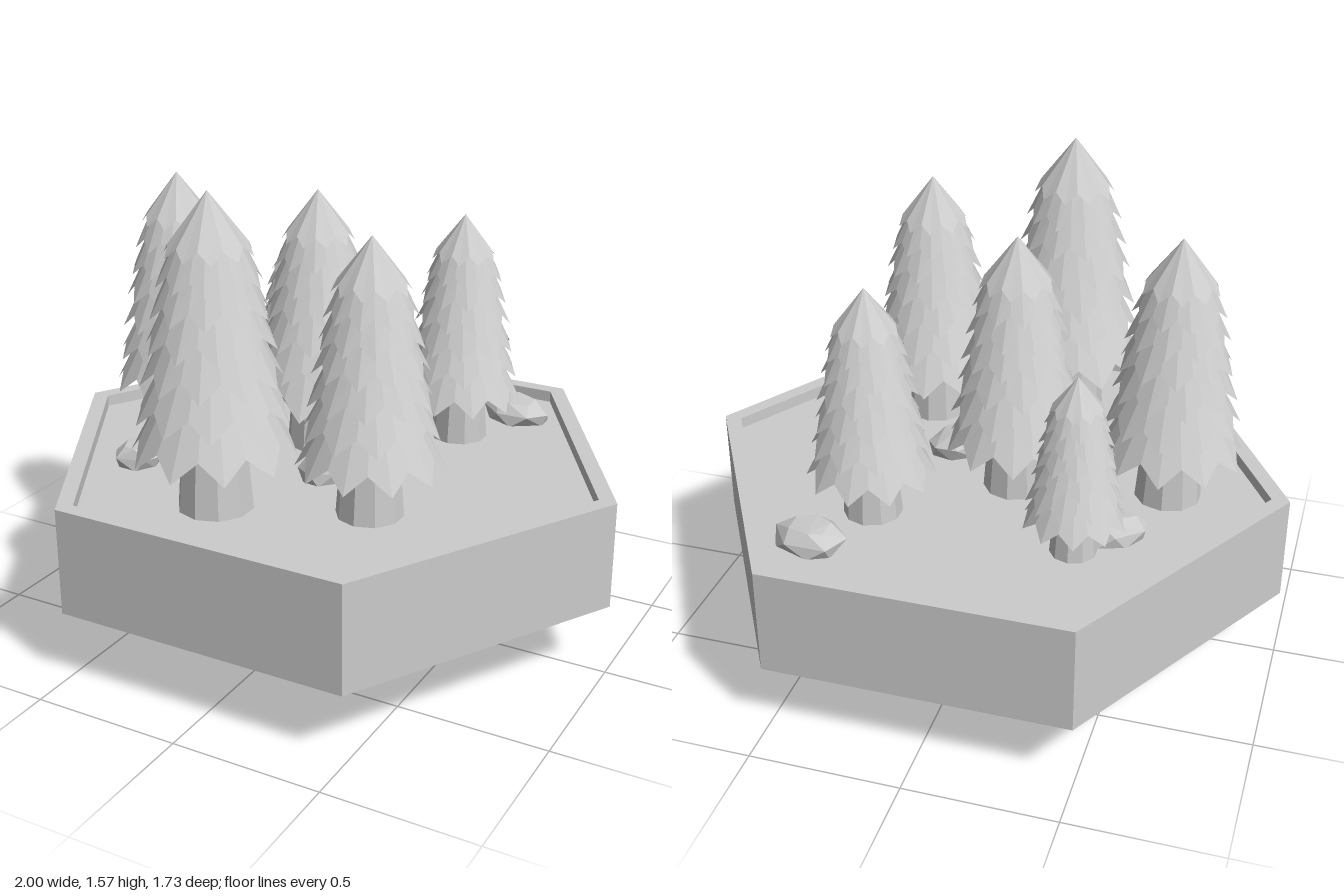
import * as THREE from 'three';
import { ConvexGeometry } from 'three/addons/geometries/ConvexGeometry.js';

const grey = new THREE.MeshStandardMaterial({ color: 0xcccccc, flatShading: true });
const thin = new THREE.MeshStandardMaterial({ color: 0xcccccc, flatShading: true, side: THREE.DoubleSide });
const FLOOR = 0.56;

let seed = 7;
function rand() {
  seed = (seed * 16807) % 2147483647;
  return seed / 2147483647;
}

function part(name, geometry, material = grey) {
  const mesh = new THREE.Mesh(geometry, material);
  mesh.name = name;
  return mesh;
}

function hexPoints(r) {
  return Array.from({ length: 6 }, (_, i) =>
    new THREE.Vector2(r * Math.cos(i * Math.PI / 3), r * Math.sin(i * Math.PI / 3)));
}

// Hexagonal tile: raised rim, sunken floor and a shallow point underneath
function createBase() {
  const base = new THREE.Group();
  base.name = 'hexBase';
  const shape = new THREE.Shape(hexPoints(1));
  shape.holes.push(new THREE.Path(hexPoints(0.94)));
  const rim = new THREE.ExtrudeGeometry(shape, { depth: 0.36, bevelEnabled: false });
  rim.rotateX(-Math.PI / 2).translate(0, 0.24, 0);
  const floor = new THREE.CylinderGeometry(0.94, 0.94, FLOOR - 0.24, 6);
  floor.rotateY(Math.PI / 6).translate(0, (FLOOR + 0.24) / 2, 0);
  const point = new THREE.ConeGeometry(0.935, 0.24, 6, 1, true);
  point.rotateX(Math.PI).rotateY(Math.PI / 6).translate(0, 0.12, 0);
  base.add(part('rim', rim), part('floor', floor), part('undersidePoint', point));
  return base;
}

// One skirt of branches: a cone whose lower edge zigzags between tips and notches
function skirtGeometry(topR, topY, tipR, tipY, drop, tips, turn) {
  const segments = tips * 2;
  const geo = new THREE.CylinderGeometry(topR, tipR, topY - tipY, segments, 1, true);
  geo.translate(0, (topY + tipY) / 2, 0);
  const pos = geo.attributes.position;
  for (let i = segments + 1; i < pos.count; i++) {
    const notch = (i - segments - 1) % 2 === 1;
    if (notch) pos.setXYZ(i, pos.getX(i) * 0.87, pos.getY(i) + drop, pos.getZ(i) * 0.87);
  }
  geo.rotateY(turn);
  return geo;
}

// Skirt tips from the crown down: [height share, radius share]
const TIERS = [[0.81, 0.52], [0.72, 0.62], [0.625, 0.7], [0.525, 0.77], [0.415, 0.84], [0.3, 0.92], [0.175, 1]];

function createTree(x, z, top, radius) {
  const tree = new THREE.Group();
  tree.name = 'pineTree';
  const h = top - FLOOR;
  const trunk = new THREE.CylinderGeometry(radius * 0.34, radius * 0.46, h * 0.4, 10);
  tree.add(part('trunk', trunk.translate(0, h * 0.2, 0)));
  TIERS.forEach(([y, r], i) => {
    const [topY, topR] = i ? [TIERS[i - 1][0] + 0.045, TIERS[i - 1][1] * 0.72] : [1, 0];
    const turn = i * 0.83 + rand() * 0.3;
    const drop = h * (0.035 + i * 0.005);
    const geo = skirtGeometry(topR * radius, topY * h, r * radius, y * h, drop, 10, turn);
    tree.add(part('branchSkirt', geo, thin));
  });
  tree.position.set(x, FLOOR, z);
  return tree;
}

// Low faceted boulder: hull of two uneven rings
function createRock(x, z, rx, rz, height, turn) {
  const points = [];
  for (const [y, scale] of [[0, 0.9], [0.5, 1], [1, 0.6]]) {
    for (let i = 0; i < 6; i++) {
      const a = (i + y + rand() * 0.5) * Math.PI / 3;
      const s = scale * (0.9 + rand() * 0.15);
      const py = height * (y - (y === 1 ? rand() * 0.15 : 0));
      points.push(new THREE.Vector3(rx * s * Math.cos(a), py, rz * s * Math.sin(a)));
    }
  }
  const rock = part('rock', new ConvexGeometry(points));
  rock.position.set(x, FLOOR - 0.005, z);
  rock.rotation.y = turn;
  return rock;
}

export function createModel() {
  const model = new THREE.Group();
  model.name = 'forestTile';
  model.add(createBase());

  // x, z, top height, radius
  const trees = [
    [-0.13, 0.53, 1.57, 0.265],
    [-0.6, 0, 1.47, 0.24],
    [-0.1, -0.08, 1.45, 0.235],
    [0.32, 0.35, 1.45, 0.235],
    [0.3, -0.37, 1.35, 0.21],
    [-0.38, -0.41, 1.17, 0.165],
  ];
  trees.forEach((t) => model.add(createTree(...t)));

  // x, z, half width, half depth, height, turn
  const rocks = [
    [0.42, -0.61, 0.13, 0.1, 0.085, -0.2],
    [-0.48, -0.3, 0.12, 0.08, 0.085, 0.4],
    [0.15, 0.08, 0.11, 0.08, 0.1, 0.9],
    [0.06, 0.19, 0.08, 0.08, 0.09, 0.3],
    [-0.54, 0.37, 0.08, 0.09, 0.08, 0],
  ];
  rocks.forEach((r) => model.add(createRock(...r)));
  return model;
}
